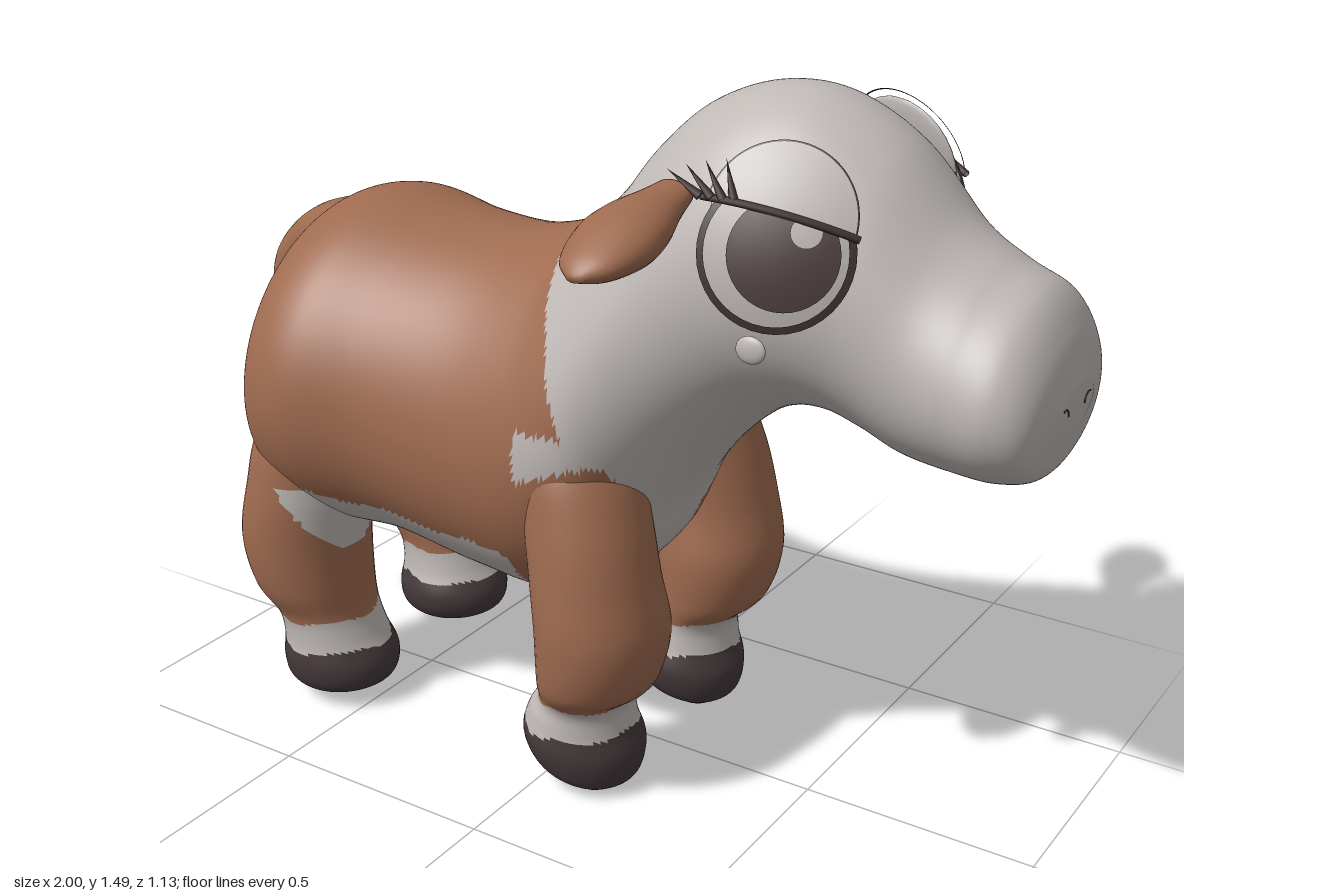
import * as THREE from 'three';

const mat = (name, color, side = THREE.FrontSide) => {
  const m = new THREE.MeshStandardMaterial({ color, side });
  m.name = name;
  return m;
};

// Smooth skin through sections [ax, ay, bx, by, z, w]: ellipses from a to b, half-width w in z.
// pear widens the b side and narrows the a side; pick(x, y, z) returns a face's material index.
function loft(sections, rings, sides, pear = 0, pick = () => 0) {
  const curve = (f) => new THREE.CatmullRomCurve3(sections.map(f), false, 'catmullrom', 0.5);
  const ca = curve((s) => new THREE.Vector3(s[0], s[1], s[4]));
  const cb = curve((s) => new THREE.Vector3(s[2], s[3], s[4]));
  const cw = curve((s) => new THREE.Vector3(s[5], 0, 0));
  const pos = [];
  for (let i = -1; i <= rings + 1; i++) {
    const t = Math.min(1, Math.max(0, i / rings));
    const k = i < 0 || i > rings ? 0 : 1; // closed ends
    const a = ca.getPoint(t), b = cb.getPoint(t), w = cw.getPoint(t).x * k;
    const c = a.clone().add(b).multiplyScalar(0.5);
    const u = a.clone().sub(c).multiplyScalar(k);
    for (let j = 0; j < sides; j++) {
      const q = (j / sides) * Math.PI * 2, cu = Math.cos(q);
      pos.push(c.x + u.x * cu, c.y + u.y * cu, c.z + w * Math.sin(q) * (1 - pear * cu));
    }
  }
  const faces = [[], [], []];
  const mid = (t, k) => (pos[t[0] * 3 + k] + pos[t[1] * 3 + k] + pos[t[2] * 3 + k]) / 3;
  for (let i = 0; i < rings + 2; i++) for (let j = 0; j < sides; j++) {
    const a = i * sides + j, b = i * sides + ((j + 1) % sides);
    for (const t of [[a, b, a + sides], [b, b + sides, a + sides]])
      faces[pick(mid(t, 0), mid(t, 1), mid(t, 2))].push(...t);
  }
  const g = new THREE.BufferGeometry();
  g.setAttribute('position', new THREE.Float32BufferAttribute(pos, 3));
  g.setIndex(faces.flat());
  let start = 0;
  faces.forEach((f, i) => { if (f.length) g.addGroup(start, f.length, i); start += f.length; });
  g.computeVertexNormals();
  return g;
}

export function createModel() {
  const cow = new THREE.Group();
  cow.name = 'cow';
  const white = mat('white hide', 0xbfb9b6), brown = mat('brown hide', 0x9f6b50);
  const dark = mat('dark hoof', 0x45393b);
  const eyeWhite = mat('eye white', 0xb9b2b0, THREE.DoubleSide);
  const iris = mat('iris', 0x4a3b3d, THREE.DoubleSide);
  const line = mat('lash', 0x3d3032, THREE.DoubleSide);
  const hide = [brown, white, dark];
  const add = (parent, name, geo, m, x = 0, y = 0, z = 0) => {
    const mesh = new THREE.Mesh(geo, m);
    mesh.name = name;
    mesh.position.set(x, y, z);
    parent.add(mesh);
    return mesh;
  };

  // Body, neck and head in one skin, from rump to muzzle
  const bodyPick = (x, y, z) => {
    const az = Math.abs(z), wave = 0.006 * Math.sin(x * 31 + y * 23);
    const neck = y > 1 ? 0.05 - (y - 1) * 0.55 : 0.05 + (1 - y) * 0.33;
    if (y > 0.82) return x > neck + wave ? 1 : 0;
    if (x > 0 && y > 0.71 + Math.min(x, 0.12) * 0.4) return 1;
    if (x > -0.06) return az < 0.1 + Math.max(0, y - 0.55) * 0.9 + wave ? 1 : 0;
    return y < 0.52 - (x + 0.06) * 0.07 + wave && x > -0.62 + (0.56 - y) * 0.5 ? 1 : 0;
  };
  const shift = -0.012; // the trunk sits slightly to its right
  const bodySections = [
    [-0.77, 0.86, -0.77, 0.62, shift, 0.08], [-0.75, 1.0, -0.755, 0.5, shift, 0.26],
    [-0.68, 1.105, -0.69, 0.43, shift, 0.375], [-0.56, 1.145, -0.56, 0.4, shift, 0.415],
    [-0.38, 1.12, -0.4, 0.395, shift, 0.375], [-0.2, 1.115, -0.2, 0.36, shift, 0.36],
    [-0.05, 1.155, -0.02, 0.355, shift, 0.36], [0.03, 1.21, 0.13, 0.46, -0.01, 0.35],
    [0.1, 1.28, 0.21, 0.62, -0.005, 0.32], [0.16, 1.36, 0.3, 0.745, -0.005, 0.295],
    [0.25, 1.44, 0.4, 0.84, -0.005, 0.28], [0.37, 1.487, 0.48, 0.88, -0.005, 0.275],
    [0.5, 1.483, 0.56, 0.885, -0.005, 0.264], [0.64, 1.41, 0.63, 0.86, -0.008, 0.243],
    [0.76, 1.28, 0.71, 0.83, -0.01, 0.232], [0.85, 1.22, 0.81, 0.82, -0.01, 0.234],
    [0.93, 1.18, 0.9, 0.82, -0.01, 0.23], [0.975, 1.11, 0.965, 0.845, -0.01, 0.185],
    [0.998, 1.02, 0.99, 0.93, -0.01, 0.08],
  ];
  add(cow, 'bodyAndHead', loft(bodySections, 220, 140, 0.07, bodyPick), hide);

  // Legs: rows of [y, centre x, half x, centre z, half z]
  const frontLeg = [
    [0, 0.1, 0.05, 0.21, 0.07], [0.03, 0.08, 0.11, 0.21, 0.11], [0.09, 0.07, 0.13, 0.21, 0.13],
    [0.15, 0.07, 0.112, 0.215, 0.12], [0.21, 0.085, 0.098, 0.22, 0.115],
    [0.27, 0.12, 0.122, 0.235, 0.14], [0.38, 0.135, 0.135, 0.24, 0.153],
    [0.5, 0.12, 0.13, 0.245, 0.142], [0.63, 0.095, 0.125, 0.235, 0.135],
    [0.76, 0.06, 0.11, 0.21, 0.125], [0.86, 0.04, 0.04, 0.19, 0.05],
  ];
  const hindLeg = [
    [0.02, -0.6, 0.06, 0.21, 0.07], [0.05, -0.6, 0.12, 0.21, 0.115], [0.1, -0.6, 0.13, 0.21, 0.13],
    [0.16, -0.61, 0.112, 0.215, 0.12], [0.22, -0.625, 0.108, 0.22, 0.12],
    [0.29, -0.65, 0.128, 0.23, 0.14], [0.4, -0.66, 0.14, 0.235, 0.15],
    [0.53, -0.64, 0.133, 0.235, 0.148], [0.66, -0.62, 0.12, 0.22, 0.14],
    [0.8, -0.58, 0.06, 0.2, 0.07],
  ];
  const legPick = (x, y, z) => {
    const wave = 0.007 * Math.sin(x * 40 + z * 33);
    if (y < 0.14 + wave) return 2;
    if (y < 0.215 + wave) return 1;
    return x < -0.4 && y > 0.4 && y < 0.555 && x > -0.62 + (0.56 - y) * 0.6 ? 1 : 0;
  };
  // tilt raises the heel side of the hoof
  for (const s of [1, -1]) for (const [name, rows, tilt] of [['frontLeg', frontLeg, 0.025], ['hindLeg', hindLeg, 0]]) {
    const sections = rows.map(([y, x, rx, z, rz]) =>
      [x - rx, y < 0.2 ? y + tilt : y, x + rx, y, z * s + shift, rz]);
    add(cow, name, loft(sections, 80, 48, 0, legPick), hide);
  }

  // Tail, from tip to base, with its tuft
  add(cow, 'tail', loft([
    [-0.93, 0.66, -0.875, 0.66, -0.015, 0.028], [-0.93, 0.8, -0.855, 0.78, -0.015, 0.036],
    [-0.918, 0.92, -0.83, 0.87, -0.015, 0.042], [-0.87, 1.0, -0.79, 0.91, -0.012, 0.046],
    [-0.77, 1.075, -0.74, 0.92, -0.01, 0.075], [-0.62, 1.125, -0.66, 0.9, -0.01, 0.15],
  ], 40, 24), brown);
  const tuft = [[0, 0.36], [0.045, 0.385], [0.08, 0.45], [0.09, 0.53], [0.068, 0.62], [0.035, 0.68], [0, 0.7]];
  const tuftCurve = new THREE.SplineCurve(tuft.map(([r, y]) => new THREE.Vector2(r, y)));
  const tuftPoints = tuftCurve.getPoints(24).map((p) => new THREE.Vector2(Math.max(0, p.x), p.y));
  add(cow, 'tailTuft', new THREE.LatheGeometry(tuftPoints, 28), white, -0.91, 0, -0.015);

  // Curved eye layer: a ring or disc laid over a shallow dome
  const layer = (inner, outer, cx, cy, lift, from = 0, sweep = Math.PI * 2) => {
    const g = new THREE.RingGeometry(inner, outer, 40, 8, from, sweep);
    g.translate(cx, cy, 0);
    const p = g.attributes.position;
    for (let i = 0; i < p.count; i++) {
      const r2 = p.getX(i) ** 2 + p.getY(i) ** 2;
      p.setZ(i, 0.024 * (1 - r2 / 0.02) + lift);
    }
    g.computeVertexNormals();
    return g;
  };

  for (const s of [1, -1]) {
    const side = new THREE.Group();
    side.name = s > 0 ? 'leftFace' : 'rightFace';
    side.scale.z = s;
    cow.add(side);

    // Ear, a flat leaf pointing outwards
    const ear = [[0, 0.04, 0.026], [0.06, 0.052, 0.036], [0.14, 0.075, 0.05], [0.21, 0.08, 0.05],
      [0.29, 0.058, 0.03], [0.335, 0.015, 0.008]];
    const earMesh = add(side, 'ear',
      loft(ear.map(([y, rx, rz]) => [-rx, y, rx, y, 0, rz]), 36, 28), brown, 0.295, 1.318, 0.235);
    earMesh.rotation.x = 1.8;

    // Eye; the right one sits a little further out and back
    const eye = new THREE.Group();
    eye.name = 'eye';
    eye.position.set(s > 0 ? 0.532 : 0.51, 1.255, s > 0 ? 0.283 : 0.3);
    eye.rotation.set(-0.28, s > 0 ? 0.32 : 0.26, 0);
    side.add(eye);
    add(eye, 'eyeBack', new THREE.SphereGeometry(1, 32, 16), line, 0, 0, -0.008).scale.set(0.14, 0.14, 0.018);
    add(eye, 'eyeball', layer(0, 0.138, 0, 0, 0), eyeWhite);
    add(eye, 'eyeRim', layer(0.128, 0.141, 0, 0, 0.004), line);
    add(eye, 'iris', layer(0, 0.1, 0.015, 0, 0.005), iris);
    add(eye, 'eyeHighlight', layer(0, 0.028, 0.05, 0.045, 0.009), eyeWhite);
    add(eye, 'eyelidBack', new THREE.SphereGeometry(1, 32, 16), white, 0, 0.05, -0.006).scale.set(0.13, 0.13, 0.018);
    add(eye, 'eyelid', layer(0, 0.134, 0, 0.062, 0.012, -0.1, Math.PI), white);
    add(eye, 'eyelidOutline', layer(0.132, 0.135, 0, 0.062, 0.014, -0.1, Math.PI), line);
    const lidEdge = new THREE.QuadraticBezierCurve3(new THREE.Vector3(-0.145, 0.078, 0.01),
      new THREE.Vector3(0, 0.078, 0.05), new THREE.Vector3(0.14, 0.046, 0.01));
    add(eye, 'lashLine', new THREE.TubeGeometry(lidEdge, 20, 0.007, 8), line);

    // Lashes fan out from the rear corner of the lid
    for (let i = 0; i < 4; i++) {
      const a = 1.9 + i * 0.24, len = 0.075;
      const cone = add(eye, 'eyelash', new THREE.ConeGeometry(0.009, len, 8), line,
        -0.085 - i * 0.02 + Math.cos(a) * len / 2, 0.078 + Math.sin(a) * len / 2, 0.02);
      cone.rotation.z = a - Math.PI / 2;
    }

    // Nostril crease
    const nostril = add(side, 'nostril', new THREE.TorusGeometry(0.018, 0.0015, 6, 16, 2), line, 0.996, 0.97, 0.058);
    nostril.rotation.y = Math.PI / 2;
  }

  // Tear drop below the left eye
  add(cow, 'tear', new THREE.SphereGeometry(1, 20, 14), white, 0.51, 1.085, 0.325).scale.set(0.03, 0.026, 0.01);
  return cow;
}
